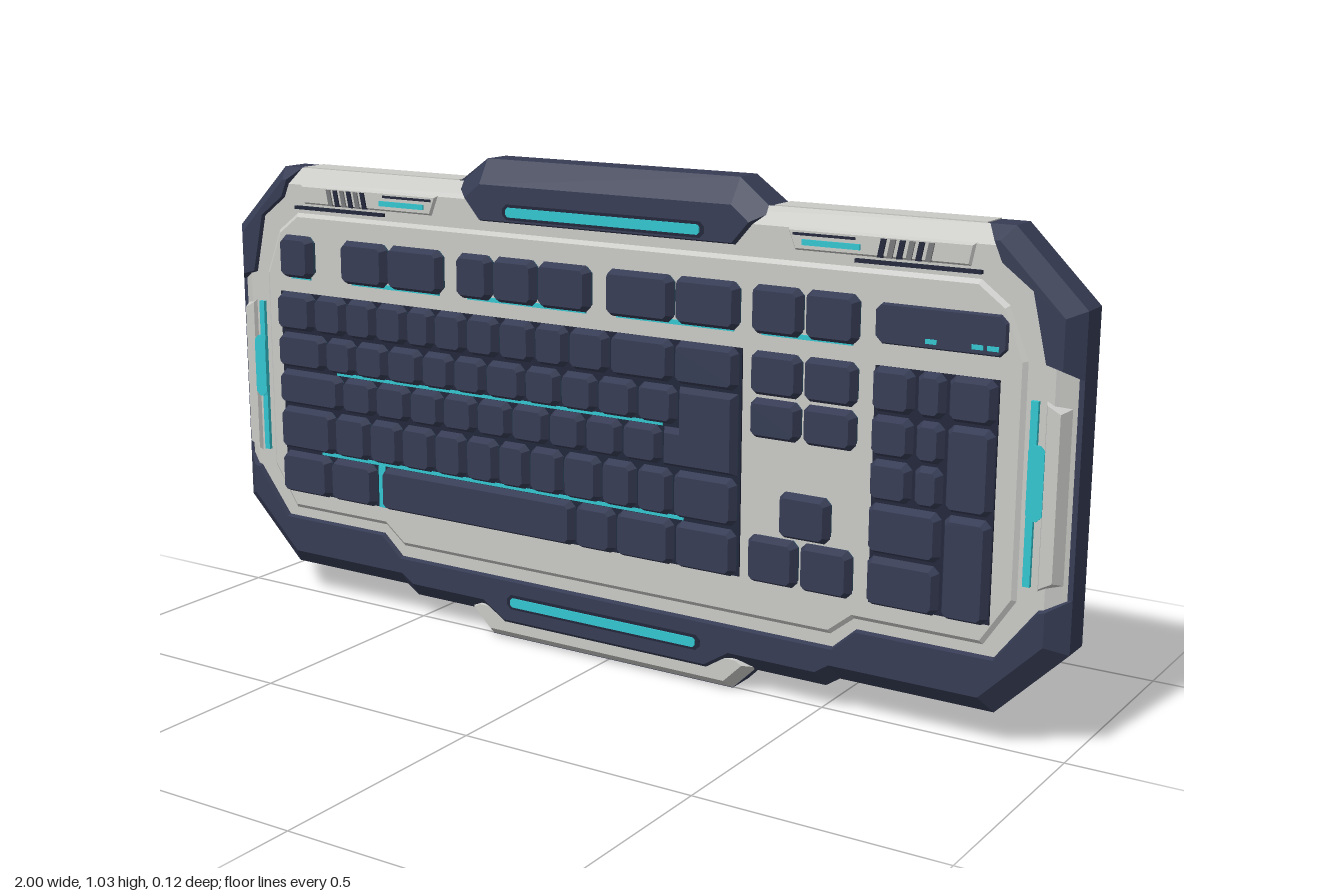
import * as THREE from 'three';

const material = (name, color) => Object.assign(new THREE.MeshStandardMaterial({ color }), { name });

// Moves every edge of a counter-clockwise outline inwards by its own distance.
function insetOutline(pts, inset) {
  const n = pts.length;
  const lines = pts.map((p, i) => {
    const q = pts[(i + 1) % n];
    const l = Math.hypot(q[0] - p[0], q[1] - p[1]);
    const d = [(q[0] - p[0]) / l, (q[1] - p[1]) / l];
    const w = Array.isArray(inset) ? inset[i] : inset;
    return { d, o: [p[0] - d[1] * w, p[1] + d[0] * w] };
  });
  return lines.map((b, i) => {
    const a = lines[(i + n - 1) % n];
    const c = a.d[0] * b.d[1] - a.d[1] * b.d[0];
    if (Math.abs(c) < 1e-5) return b.o;
    const t = ((b.o[0] - a.o[0]) * b.d[1] - (b.o[1] - a.o[1]) * b.d[0]) / c;
    return [a.o[0] + a.d[0] * t, a.o[1] + a.d[1] * t];
  });
}

// Flat-faced slab whose front outline is inset to form a bevel.
function slabGeometry(pts, z0, z1, inset = 0) {
  const front = insetOutline(pts, inset);
  const pos = [];
  const add = (p, z) => pos.push(p[0], p[1], z);
  pts.forEach((p, i) => {
    const j = (i + 1) % pts.length;
    add(p, z0); add(pts[j], z0); add(front[j], z1);
    add(p, z0); add(front[j], z1); add(front[i], z1);
  });
  const cap = (outline, z, flipped) => {
    const v = outline.map((p) => new THREE.Vector2(p[0], p[1]));
    for (const [a, b, c] of THREE.ShapeUtils.triangulateShape(v, [])) {
      for (const k of flipped ? [a, c, b] : [a, b, c]) add(outline[k], z);
    }
  };
  cap(front, z1, false);
  cap(pts, z0, true);
  const g = new THREE.BufferGeometry();
  g.setAttribute('position', new THREE.Float32BufferAttribute(pos, 3));
  g.computeVertexNormals();
  return g;
}

const flip = (pts) => pts.map(([x, y]) => [-x, y]).reverse();
const mirrored = (half) => [...half, ...flip(half)];
const mirroredInsets = (h, bottom) => [...h, ...h.slice(0, -1).reverse(), bottom];
const rect = (x0, x1, y0, y1) => [[x0, y0], [x1, y0], [x1, y1], [x0, y1]];
const chamfered = (x0, x1, y0, y1, c) => [
  [x0 + c, y0], [x1 - c, y0], [x1, y0 + c], [x1, y1 - c],
  [x1 - c, y1], [x0 + c, y1], [x0, y1 - c], [x0, y0 + c]];

export function createModel() {
  const model = new THREE.Group();
  model.name = 'keyboard';
  const navy = material('navy plastic', 0x363c54);
  const silver = material('silver plastic', 0xc9c9c6);
  const teal = material('teal light', 0x33c6d0);
  const blue = material('blue key skirt', 0x34536a);
  const shade = material('dark recess', 0x22273a);
  const grey = material('grey vent', 0x77787a);

  const slab = (name, mat, pts, z0, z1, inset = 0, parent = model) => {
    const mesh = new THREE.Mesh(slabGeometry(pts, z0, z1, inset), mat);
    mesh.name = name;
    parent.add(mesh);
  };
  // The same slab on both sides
  const pair = (name, mat, pts, z0, z1, inset = 0) => {
    slab(name + 'Left', mat, pts, z0, z1, inset);
    const other = Array.isArray(inset)
      ? [...inset.slice(0, -1).reverse(), inset[inset.length - 1]] : inset;
    slab(name + 'Right', mat, flip(pts), z0, z1, other);
  };

  // Back tray with the full silhouette
  slab('backTray', navy, mirrored([[0.3, 0], [0.35, 0.05], [0.51, 0.05], [0.54, 0.07], [0.86, 0.07],
    [1, 0.21], [1, 0.845], [0.86, 0.985], [0.37, 0.985], [0.3, 1.035]]), -0.06, 0.004);
  pair('topEdgeStrip', silver, rect(0.375, 0.805, 0.982, 0.987), -0.06, 0.004);

  // Silver deck and its raised key field
  slab('deck', silver, mirrored([[0.86, 0.07], [0.99, 0.21], [0.99, 0.845], [0.86, 0.985]]), 0.004, 0.026, 0.035);
  slab('keyField', silver, mirrored([[0.53, 0.16], [0.58, 0.2], [0.845, 0.2], [0.91, 0.3], [0.91, 0.75],
    [0.87, 0.85], [0.81, 0.895], [0.33, 0.895]]), 0.02, 0.033, 0.016);

  // Navy armour around the rim
  slab('bottomArmour', navy, mirrored([[0.26, 0.015], [0.315, 0.05], [0.51, 0.05], [0.54, 0.07], [0.86, 0.07],
    [1, 0.21], [1, 0.315], [0.94, 0.3], [0.86, 0.195], [0.58, 0.195], [0.53, 0.15]]), 0.004, 0.036,
    mirroredInsets([0.035, 0.035, 0.035, 0.035, 0.04, 0.04, 0.012, 0.012, 0.012, 0.012, 0.012], 0.035));
  slab('topArmour', navy, mirrored([[0.31, 0.9], [0.375, 0.975], [0.3, 1.035]]), 0.004, 0.037,
    mirroredInsets([0.015, 0.04, 0.05], 0.012));
  pair('cornerArmour', navy, [[1, 0.72], [1, 0.845], [0.86, 0.985], [0.81, 0.985], [0.84, 0.915],
    [0.9, 0.87], [0.93, 0.74]], 0.004, 0.035, [0.03, 0.03, 0.025, 0.01, 0.01, 0.01, 0.01]);

  // Silver foot under the bottom armour
  slab('bottomFoot', silver, mirrored([[0.3, 0.001], [0.355, 0.055], [0.32, 0.075]]), 0.004, 0.03,
    mirroredInsets([0.02, 0.005, 0.005], 0.02));

  // Side grips and their lights
  pair('sideGrip', silver, [[0.93, 0.31], [0.985, 0.34], [0.985, 0.67], [0.93, 0.7]], 0.004, 0.034, 0.015);
  pair('sideLight', teal, rect(0.914, 0.928, 0.335, 0.68), 0.026, 0.034);
  pair('sideLightCentre', teal, chamfered(0.914, 0.945, 0.46, 0.6, 0.01), 0.03, 0.036);

  // Shoulder panels with seams, slanted vents and lights
  pair('shoulderPanel', silver, [[0.43, 0.905], [0.79, 0.905], [0.8, 0.955], [0.41, 0.955]], 0.02, 0.032, 0.008);
  pair('shoulderSeam', shade, rect(0.56, 0.81, 0.897, 0.904), 0.026, 0.035);
  pair('panelSeam', shade, rect(0.43, 0.56, 0.938, 0.943), 0.028, 0.034);
  pair('shoulderLight', teal, rect(0.45, 0.57, 0.92, 0.931), 0.028, 0.035);
  for (let i = 0; i < 6; i++) {
    const x = 0.605 + i * 0.019;
    pair('vent' + i, i % 2 ? grey : shade, [[x, 0.91], [x + 0.011, 0.91], [x + 0.018, 0.945], [x + 0.007, 0.945]], 0.028, 0.035);
  }

  // Light bars on the top and bottom armour
  for (const [name, y] of [['topLightBar', 0.932], ['bottomLightBar', 0.093]]) {
    slab(name + 'Recess', shade, chamfered(-0.24, 0.24, y - 0.016, y + 0.016, 0.01), 0.03, 0.038);
    slab(name, teal, chamfered(-0.23, 0.23, y - 0.01, y + 0.01, 0.005), 0.034, 0.041);
  }

  // Dark beds between the keys and the glow showing through
  slab('mainBed', shade, rect(-0.858, 0.328, 0.25, 0.71), 0.03, 0.0365);
  slab('numberBed', shade, rect(0.61, 0.855, 0.25, 0.71), 0.03, 0.0365);
  slab('spaceGlow', teal, rect(-0.586, -0.568, 0.25, 0.345), 0.034, 0.04);
  slab('rowGlow', teal, rect(-0.75, 0.2, 0.345, 0.353), 0.034, 0.038);
  slab('upperRowGlow', teal, rect(-0.7, 0.15, 0.534, 0.541), 0.034, 0.038);

  // Keys: a blue skirt and a bevelled navy cap
  const keys = new THREE.Group();
  keys.name = 'keys';
  model.add(keys);
  const key = (x0, x1, y0, y1) => {
    slab('keySkirt', blue, chamfered(x0 + 0.003, x1 - 0.003, y0 + 0.003, y1 - 0.003, 0.012), 0.03, 0.045, 0, keys);
    slab('keyCap', navy, chamfered(x0, x1, y0, y1, 0.012), 0.043, 0.061, 0.009, keys);
  };
  const row = (edges, y0, y1) => {
    for (let i = 0; i + 1 < edges.length; i++) key(edges[i] + 0.003, edges[i + 1] - 0.003, y0, y1);
  };
  // Top row in separate clusters
  for (const edges of [[-0.845, -0.75], [-0.67, -0.54, -0.39], [-0.355, -0.26, -0.147, -0.015],
    [0.018, 0.18, 0.328], [0.35, 0.465, 0.582]]) {
    row(edges, 0.745, 0.84);
    slab('topRowGlow', teal, rect(edges[0] + 0.02, edges[edges.length - 1] - 0.02, 0.741, 0.75), 0.03, 0.037);
  }
  // Main block
  row([-0.858, -0.75, -0.66, -0.575, -0.49, -0.415, -0.33, -0.245, -0.155, -0.07, 0.03, 0.18, 0.328], 0.626, 0.712);
  row([-0.858, -0.72, -0.635, -0.545, -0.45, -0.365, -0.28, -0.18, -0.09, 0, 0.095, 0.19], 0.541, 0.62);
  row([-0.858, -0.675, -0.58, -0.485, -0.395, -0.305, -0.215, -0.12, -0.03, 0.06, 0.155], 0.456, 0.535);
  row([-0.858, -0.7, -0.6, -0.51, -0.42, -0.335, -0.25, -0.17, -0.085, 0.01, 0.095, 0.18, 0.328], 0.353, 0.45);
  row([-0.858, -0.715, -0.585], 0.25, 0.346);
  row([-0.57, -0.055, 0.045, 0.185, 0.328], 0.25, 0.346);
  // L-shaped enter key
  const enter = [[0.158, 0.456], [0.325, 0.456], [0.325, 0.62], [0.193, 0.62], [0.193, 0.535], [0.158, 0.535]];
  slab('enterSkirt', blue, insetOutline(enter, 0.003), 0.03, 0.045, 0, keys);
  slab('enterCap', navy, enter, 0.043, 0.061, 0.009, keys);
  // Navigation keys and arrows
  row([0.35, 0.465, 0.582], 0.626, 0.712);
  row([0.35, 0.465, 0.582], 0.541, 0.62);
  key(0.42, 0.53, 0.35, 0.442);
  row([0.35, 0.465, 0.582], 0.25, 0.346);
  // Number pad
  row([0.607, 0.698, 0.76, 0.858], 0.626, 0.712);
  row([0.607, 0.698, 0.76], 0.541, 0.62);
  row([0.607, 0.698, 0.76], 0.456, 0.535);
  key(0.763, 0.855, 0.456, 0.62);
  key(0.61, 0.757, 0.353, 0.45);
  key(0.61, 0.757, 0.25, 0.346);
  key(0.763, 0.855, 0.25, 0.45);

  // Status panel above the number pad
  slab('statusPanel', navy, chamfered(0.605, 0.868, 0.75, 0.83, 0.015), 0.03, 0.04, 0.005);
  for (const x of [0.71, 0.8, 0.83]) slab('statusLight', teal, rect(x, x + 0.022, 0.762, 0.771), 0.038, 0.042);

  return model;
}
